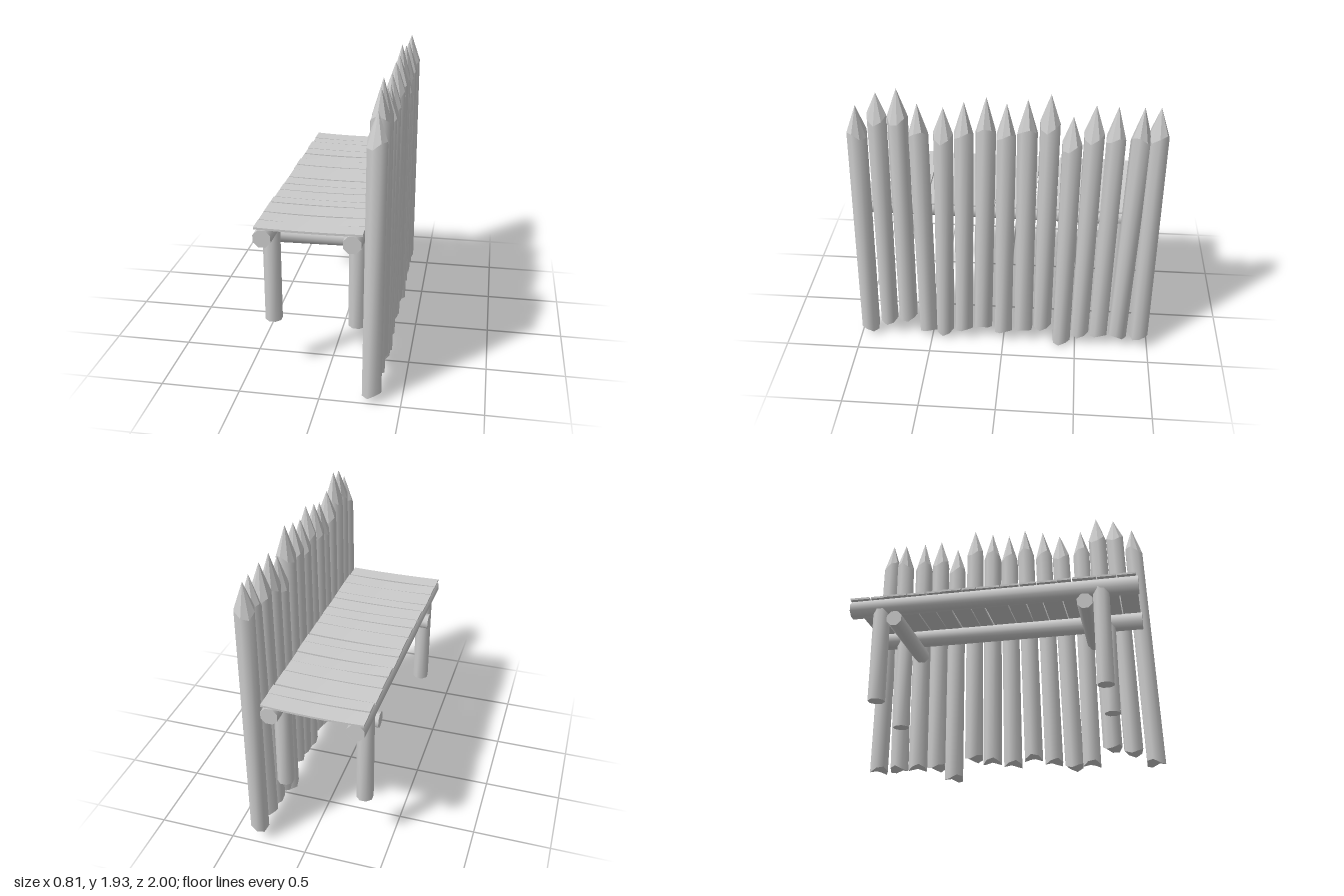
import * as THREE from 'three';
import { toCreasedNormals } from 'three/addons/utils/BufferGeometryUtils.js';

const SIDES = 8;
const material = new THREE.MeshStandardMaterial({ color: 0xcccccc });

// Small seeded generator for hand-cut irregularity
function makeRandom(seed) {
  return () => {
    seed = (seed * 16807) % 2147483647;
    return seed / 2147483647;
  };
}

// Move every vertex of a geometry by a rule
function deform(geometry, rule) {
  const pos = geometry.attributes.position;
  const v = new THREE.Vector3();
  for (let i = 0; i < pos.count; i++) {
    rule(v.fromBufferAttribute(pos, i));
    pos.setXYZ(i, v.x, v.y, v.z);
  }
  return geometry;
}

function addMesh(parent, name, geometry, crease) {
  const mesh = new THREE.Mesh(toCreasedNormals(geometry, crease), material);
  mesh.name = name;
  parent.add(mesh);
  return mesh;
}

// Straight eight-sided log between two points
function addLog(parent, name, from, to, radius) {
  const a = new THREE.Vector3(...from);
  const b = new THREE.Vector3(...to);
  const dir = b.clone().sub(a);
  const geometry = new THREE.CylinderGeometry(radius, radius, dir.length(), SIDES);
  geometry.rotateY(Math.PI / SIDES);
  const mesh = addMesh(parent, name, geometry, 0.9);
  mesh.position.copy(a).add(b).multiplyScalar(0.5);
  mesh.quaternion.setFromUnitVectors(new THREE.Vector3(0, 1, 0), dir.normalize());
}

// Sharpened palisade stake: rough-cut foot, leaning shaft, faceted point
function addStake(parent, [zFoot, zTip, yFoot, yShoulder, yTip], random) {
  const radius = 0.063;
  const phase = random() * Math.PI * 2;
  const turn = random() * 0.7;
  const xFoot = 0.322 - 0.006 * zFoot;
  const xTip = xFoot + 0.008 + (random() - 0.5) * 0.012;
  const rough = (v) => {
    const rim = Math.hypot(v.x, v.z) / radius;
    const angle = Math.atan2(v.z, v.x);
    return rim * Math.sin(angle * 2 + phase) * 0.018;
  };
  const lean = (v) => {
    const t = (v.y - yFoot) / (yTip - yFoot);
    v.x += THREE.MathUtils.lerp(xFoot, xTip, t);
    v.z += THREE.MathUtils.lerp(zFoot, zTip, t);
  };
  const stake = new THREE.Group();
  stake.name = 'stake';

  const height = yShoulder - yFoot;
  const shaft = new THREE.CylinderGeometry(radius, radius, height, SIDES, 1);
  shaft.rotateY(turn).translate(0, yFoot + height / 2, 0);
  deform(shaft, (v) => {
    v.y += rough(v) * (v.y > 1 ? 1.5 : 1);
    lean(v);
  });
  addMesh(stake, 'stakeShaft', shaft, 0.9);

  const pointHeight = yTip - yShoulder;
  const point = new THREE.ConeGeometry(radius, pointHeight, SIDES, 1, true);
  point.rotateY(turn).translate(0, yShoulder + pointHeight / 2, 0);
  deform(point, (v) => {
    v.y += rough(v) * 1.5;
    lean(v);
  });
  addMesh(stake, 'stakePoint', point, 0.2);
  parent.add(stake);
}

// Thin sagging board lying across the rails
function addPlank(parent, zStart, zEnd, random) {
  const zMid = (zStart + zEnd) / 2;
  const x0 = -0.385 - 0.012 * zMid + (random() - 0.5) * 0.008;
  const x1 = 0.259 - 0.006 * zMid + (random() - 0.5) * 0.008;
  const sag = 0.004 + random() * 0.006;
  const skew = (random() - 0.5) * 0.008;
  const geometry = new THREE.BoxGeometry(2, 0.013, zEnd - zStart, 6, 1, 1);
  deform(geometry, (v) => {
    const s = v.x;
    v.y += 1.07 - sag * (1 - s * s);
    v.z += zMid + skew * s + 0.004 * s;
    v.x = THREE.MathUtils.lerp(x0, x1, (s + 1) / 2);
  });
  addMesh(parent, 'plank', geometry, 0.5);
}

export function createModel() {
  const model = new THREE.Group();
  model.name = 'palisadeWalkway';
  const random = makeRandom(4711);

  // Palisade: foot z, tip z, foot y, shoulder y, tip y
  const palisade = new THREE.Group();
  palisade.name = 'palisade';
  const stakes = [
    [0.94, 0.885, 0.05, 1.62, 1.81], [0.8, 0.755, 0.13, 1.73, 1.9],
    [0.665, 0.63, 0.165, 1.73, 1.93], [0.525, 0.51, 0.065, 1.65, 1.84],
    [0.41, 0.355, 0.055, 1.62, 1.82], [0.275, 0.23, 0.09, 1.65, 1.86],
    [0.14, 0.095, 0.125, 1.69, 1.9], [0, -0.025, 0.09, 1.65, 1.86],
    [-0.14, -0.15, 0.115, 1.69, 1.89], [-0.27, -0.285, 0.15, 1.72, 1.93],
    [-0.405, -0.42, 0.018, 1.59, 1.79], [-0.53, -0.55, 0.1, 1.66, 1.87],
    [-0.66, -0.68, 0.1, 1.66, 1.87], [-0.79, -0.83, 0.1, 1.67, 1.87],
    [-0.937, -0.925, 0.1, 1.68, 1.87],
  ];
  stakes.forEach((s) => addStake(palisade, s, random));
  model.add(palisade);

  // Walkway frame: two long rails, two cross beams, four legs
  const frame = new THREE.Group();
  frame.name = 'walkwayFrame';
  addLog(frame, 'outerRail', [-0.325, 1.01, -0.96], [-0.345, 1.01, 0.92], 0.058);
  addLog(frame, 'innerRail', [0.21, 1.01, -0.96], [0.19, 1.01, 0.92], 0.058);
  for (const [beamZ, legZ, shift] of [[-0.65, -0.755, 0.018], [0.585, 0.685, 0]]) {
    addLog(frame, 'crossBeam', [-0.407 + shift, 0.9, beamZ], [0.28, 0.91, beamZ], 0.053);
    for (const x of [-0.345, 0.187]) {
      addLog(frame, 'leg', [x + shift, 0.36, legZ], [x + shift, 1.0, legZ], 0.055);
    }
  }
  model.add(frame);

  // Deck boards, split at these z positions
  const deck = new THREE.Group();
  deck.name = 'deck';
  const seams = [-0.96, -0.825, -0.728, -0.568, -0.446, -0.336, -0.204, -0.11,
    0.05, 0.172, 0.283, 0.415, 0.508, 0.665, 0.79, 0.914];
  for (let i = 0; i < seams.length - 1; i++) {
    addPlank(deck, seams[i] + 0.004, seams[i + 1] - 0.004, random);
  }
  model.add(deck);

  return model;
}
